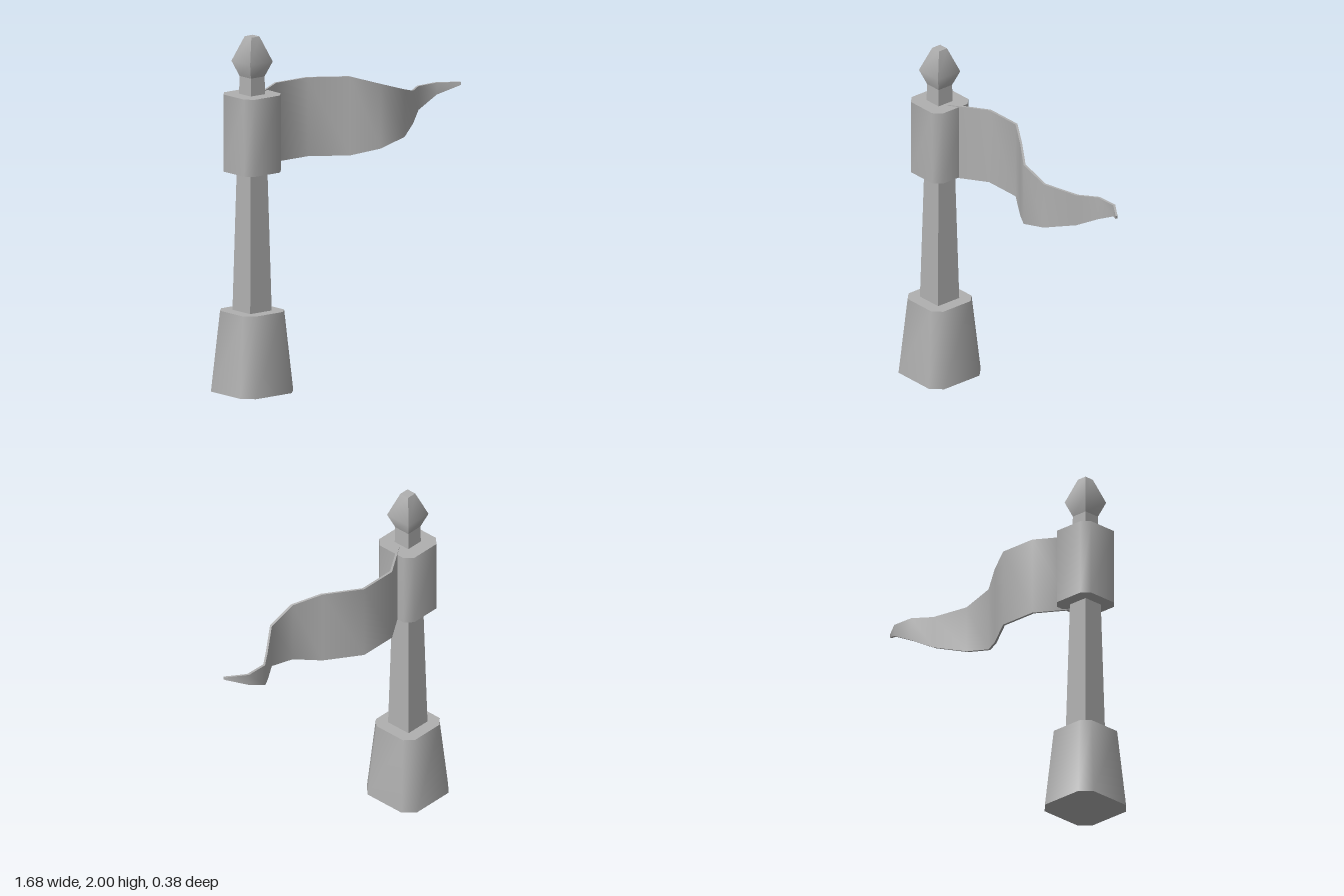
import * as THREE from 'three';
import { toCreasedNormals } from 'three/addons/utils/BufferGeometryUtils.js';

const POLE_X = -0.656;

// Joins cross-sections, each counter-clockwise about the direction of travel, and caps both ends
function loft(rings) {
  const n = rings[0].length;
  const index = [];
  for (let r = 0; r < rings.length - 1; r++) {
    for (let i = 0; i < n; i++) {
      const a = r * n + i, b = r * n + (i + 1) % n;
      index.push(a, b, b + n, a, b + n, a + n);
    }
  }
  const last = (rings.length - 1) * n;
  for (let i = 1; i < n - 1; i++) {
    index.push(0, i + 1, i, last, last + i, last + i + 1);
  }
  const geometry = new THREE.BufferGeometry();
  geometry.setAttribute('position', new THREE.Float32BufferAttribute(rings.flat(2), 3));
  geometry.setIndex(index);
  return toCreasedNormals(geometry, 1.0);
}

// Square section around the pole
const square = (y, h) =>
  [[h, h], [h, -h], [-h, -h], [-h, h]].map(([x, z]) => [x, y, z]);

// Square section with cut corners; f is half the length of each flat side
const octagon = (y, h, f) =>
  [[h, f], [h, -f], [f, -h], [-f, -h], [-h, -f], [-h, f], [-f, h], [f, h]]
    .map(([x, z]) => [x, y, z]);

export function createModel() {
  const group = new THREE.Group();
  const grey = new THREE.MeshStandardMaterial({ color: 0xb0b0b0 });
  grey.name = 'grey';

  const add = (name, rings, x = 0) => {
    const mesh = new THREE.Mesh(loft(rings), grey);
    mesh.name = name;
    mesh.position.x = x;
    group.add(mesh);
  };

  // Stand, post and finial
  add('base', [octagon(0, 0.189, 0.128), octagon(0.455, 0.147, 0.1)], POLE_X);
  add('pole', [square(0.455, 0.077), square(1.775, 0.049)], POLE_X);
  add('finial', [square(1.775, 0.049), square(1.86, 0.081), square(2, 0.029)], POLE_X);

  // Sleeve holding the banner
  add('collar', [octagon(1.24, 0.132, 0.09), octagon(1.675, 0.132, 0.09)], POLE_X);

  // Waving banner: x, z, bottom, top
  const wave = [
    [-0.58, 0, 1.235, 1.68],
    [-0.38, -0.13, 1.235, 1.68],
    [-0.155, -0.13, 1.235, 1.68],
    [0.04, 0.003, 1.235, 1.68],
    [0.18, 0.098, 1.27, 1.635],
    [0.35, 0.098, 1.313, 1.581],
    [0.5, -0.01, 1.35, 1.535],
    [0.6, -0.083, 1.402, 1.536],
    [0.73, -0.083, 1.47, 1.538],
    [0.84, -0.005, 1.523, 1.54],
  ];
  const t = 0.007;
  add('banner', wave.map(([x, z, low, high]) => [
    [x, high, z + t], [x, low, z + t], [x, low, z - t], [x, high, z - t],
  ]));

  return group;
}
